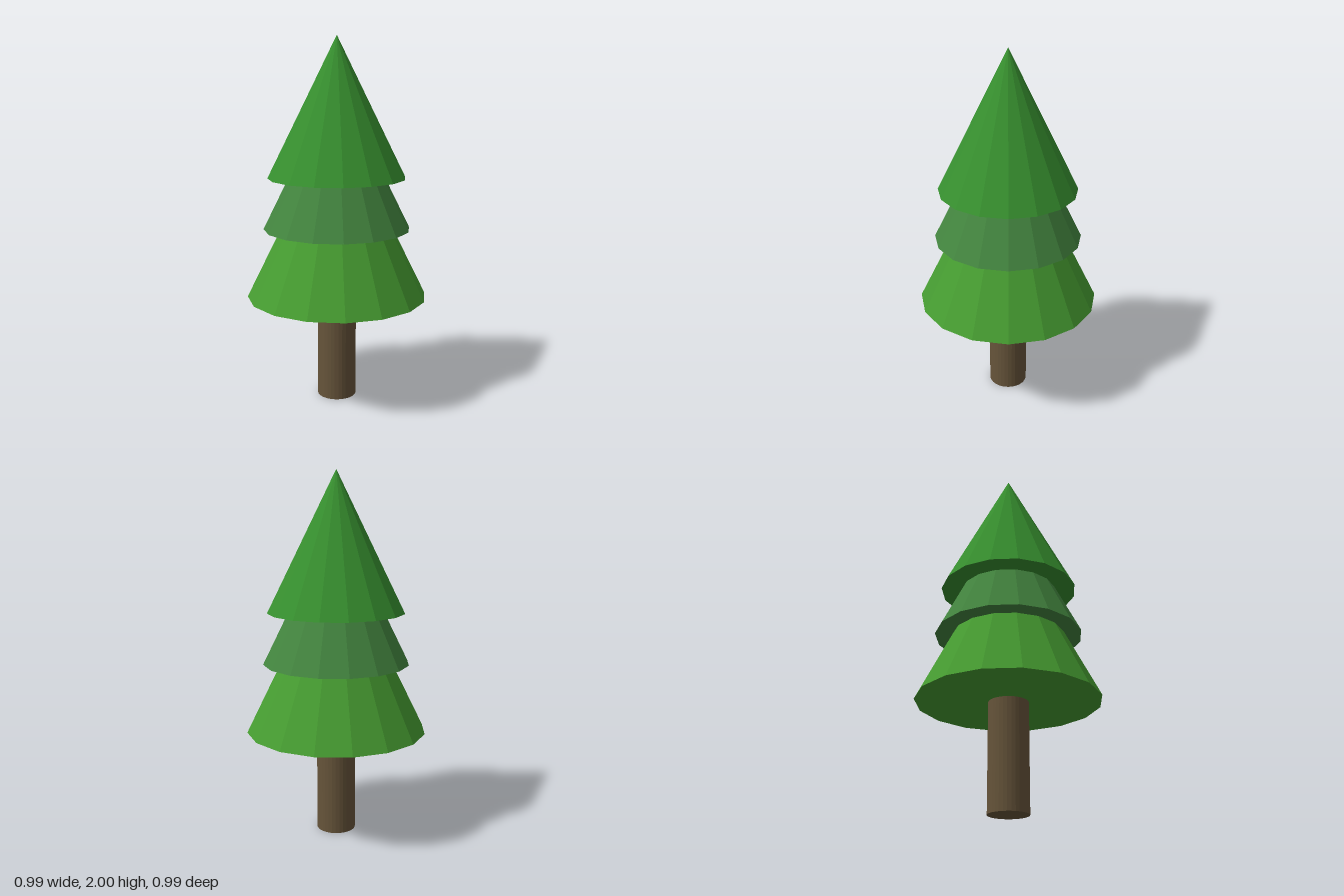
import * as THREE from 'three';

export function createModel() {
  const tree = new THREE.Group();
  tree.name = 'pineTree';

  const addPart = (name, geometry, color, baseY, height) => {
    const material = new THREE.MeshStandardMaterial({ color, flatShading: true });
    const mesh = new THREE.Mesh(geometry, material);
    mesh.name = name;
    mesh.position.y = baseY + height / 2;
    tree.add(mesh);
  };

  // Round trunk, ending just inside the lowest tier
  const trunkHeight = 0.62;
  addPart('trunk', new THREE.CylinderGeometry(0.108, 0.108, trunkHeight, 32), 0x66543a, 0, trunkHeight);

  // Three overlapping sixteen-sided cones, bottom to top
  const tiers = [
    { name: 'lowerFoliage', radius: 0.497, baseY: 0.585, height: 1.0, color: 0x469c31 },
    { name: 'middleFoliage', radius: 0.403, baseY: 0.965, height: 0.81, color: 0x43853f },
    { name: 'upperFoliage', radius: 0.377, baseY: 1.245, height: 0.755, color: 0x37902f },
  ];
  for (const { name, radius, baseY, height, color } of tiers) {
    addPart(name, new THREE.ConeGeometry(radius, height, 16), color, baseY, height);
  }

  return tree;
}
